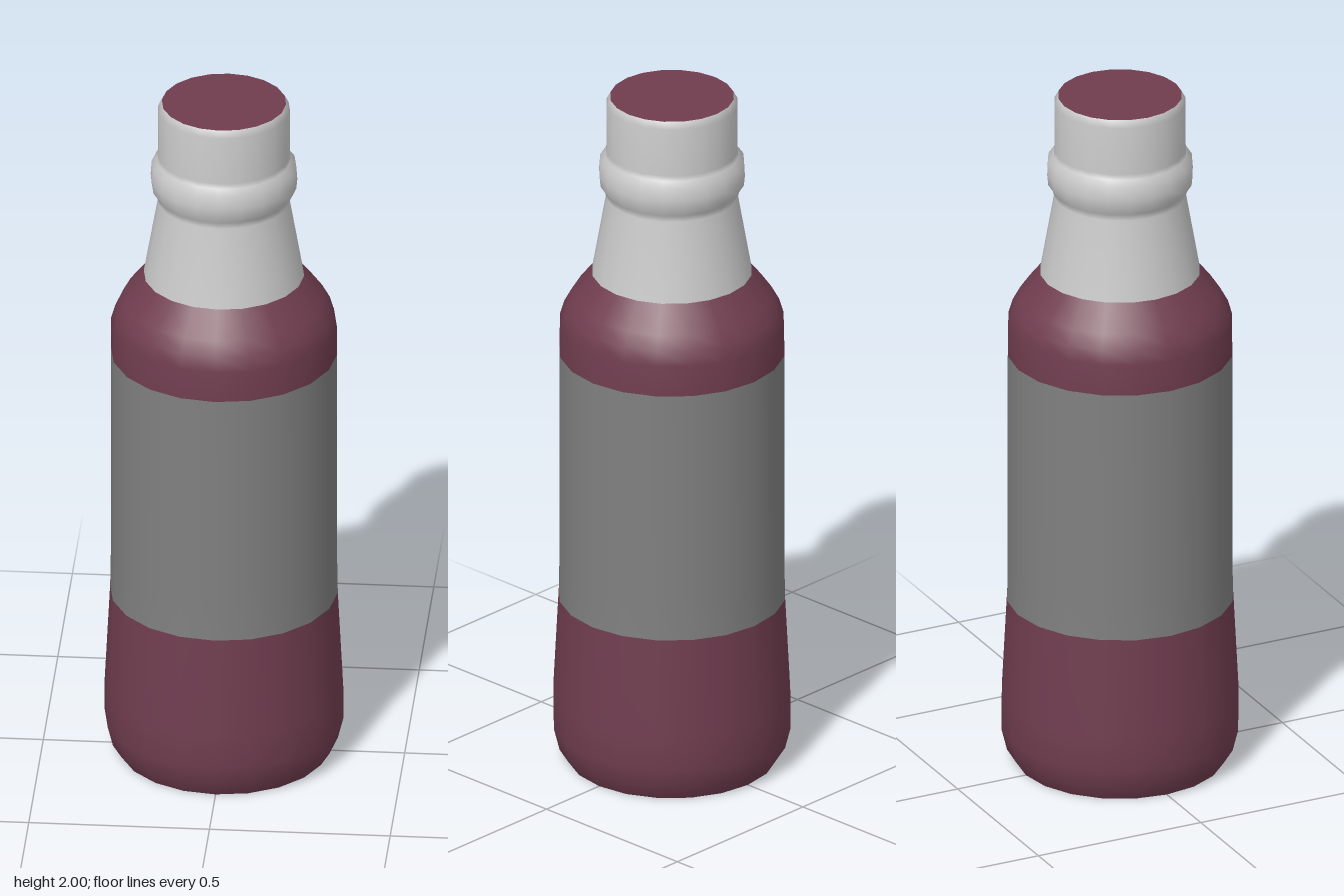
import * as THREE from 'three';

const SIDES = 20;

export function createModel() {
  const bottle = new THREE.Group();
  bottle.name = 'bottle';

  const wine = new THREE.MeshStandardMaterial({ color: 0x703d4f });
  const paper = new THREE.MeshStandardMaterial({ color: 0x808080 });
  const foil = new THREE.MeshStandardMaterial({ color: 0xcccccc });

  const add = (name, geometry, material) => {
    const mesh = new THREE.Mesh(geometry, material);
    mesh.name = name;
    bottle.add(mesh);
    return mesh;
  };
  // Turned section; profile is [radius, height] from bottom to top
  const turn = (name, profile, material) =>
    add(name, new THREE.LatheGeometry(profile.map(([r, y]) => new THREE.Vector2(r, y)), SIDES), material);
  // Flat end disc, facing up (1) or down (-1)
  const disc = (name, radius, y, facing, material) =>
    add(name, new THREE.CircleGeometry(radius, SIDES).rotateX(-facing * Math.PI / 2).translate(0, y, 0), material);

  // Body
  disc('base', 0.29, 0, -1, wine);
  turn('lowerBody', [[0.29, 0], [0.315, 0.04], [0.33, 0.1], [0.33, 0.2], [0.315, 0.49]], wine);
  turn('label', [[0.315, 0.49], [0.313, 0.6], [0.313, 1.23]], paper);
  turn('shoulder', [[0.313, 1.23], [0.312, 1.32], [0.3, 1.36], [0.278, 1.4], [0.222, 1.47]], wine);

  // Neck with its rounded collar and mouth
  turn('neck', [
    [0.222, 1.47], [0.182, 1.7], [0.187, 1.72], [0.2, 1.74],
    [0.203, 1.77], [0.2, 1.81], [0.185, 1.825], [0.183, 1.84],
    [0.183, 1.98], [0.172, 2],
  ], foil);
  disc('cap', 0.172, 2, 1, wine);

  return bottle;
}
